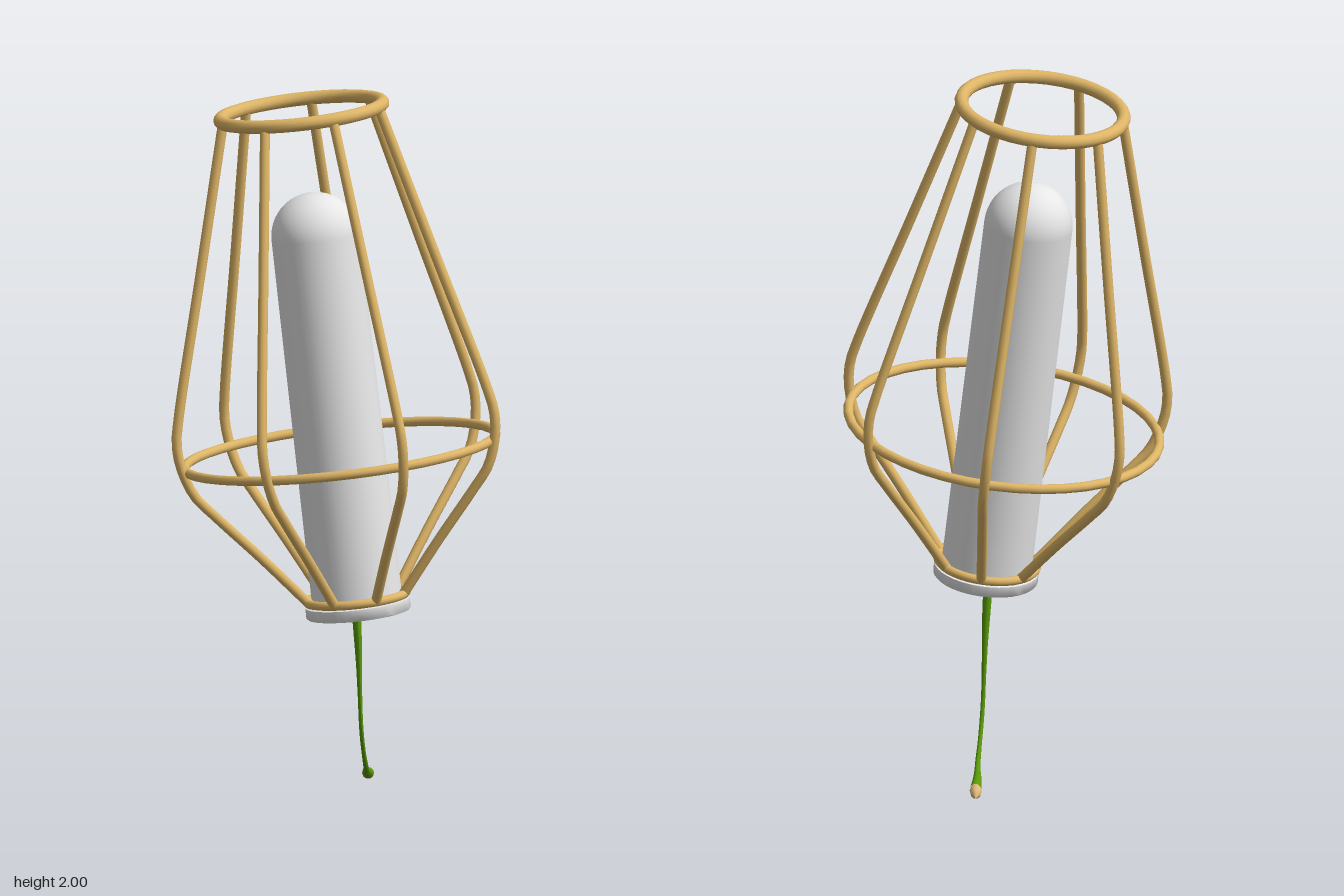
import * as THREE from 'three';
import { toCreasedNormals } from 'three/addons/utils/BufferGeometryUtils.js';

const V = (x, y, z) => new THREE.Vector3(x, y, z);

// Tube along a curve whose radius follows a list of evenly spaced values
function taperedTube(points, radii, segments, sides) {
  const curve = new THREE.CatmullRomCurve3(points, false, 'centripetal');
  const geo = new THREE.TubeGeometry(curve, segments, 1, sides);
  const pos = geo.attributes.position;
  const v = V(0, 0, 0);
  for (let i = 0; i <= segments; i++) {
    const t = (i / segments) * (radii.length - 1);
    const k = Math.min(Math.floor(t), radii.length - 2);
    const r = THREE.MathUtils.lerp(radii[k], radii[k + 1], t - k);
    const c = curve.getPointAt(i / segments);
    for (let j = 0; j <= sides; j++) {
      const n = i * (sides + 1) + j;
      v.fromBufferAttribute(pos, n).sub(c).multiplyScalar(r).add(c);
      pos.setXYZ(n, v.x, v.y, v.z);
    }
  }
  geo.computeVertexNormals();
  return geo;
}

export function createModel() {
  const model = new THREE.Group();
  model.name = 'cageLamp';

  const mat = (name, color, extra = {}) =>
    Object.assign(new THREE.MeshStandardMaterial({ color, ...extra }), { name });
  const brass = mat('brass', 0xdeb566);
  const white = mat('white', 0xe6e6e6, { side: THREE.DoubleSide });
  const green = mat('green', 0x589a08);
  const tan = mat('tan', 0xe0b878);

  const add = (parent, name, geo, material) => {
    const mesh = new THREE.Mesh(geo, material);
    mesh.name = name;
    parent.add(mesh);
    return mesh;
  };

  // Leaning lamp: everything here is built around its own upright axis
  const lamp = new THREE.Group();
  lamp.name = 'lamp';
  lamp.position.set(0.055, 0.593, 0.035);
  lamp.quaternion.setFromUnitVectors(V(0, 1, 0), V(-0.127, 1.37, -0.132).normalize());
  model.add(lamp);

  // Hoops: name, height, radius, wire radius
  for (const [name, y, r, w] of [
    ['baseHoop', 0, 0.138, 0.0125],
    ['middleHoop', 0.412, 0.435, 0.0135],
    ['topHoop', 1.372, 0.227, 0.019],
  ]) {
    const hoop = add(lamp, name, new THREE.TorusGeometry(r, w, 12, 40), brass);
    hoop.rotation.x = Math.PI / 2;
    hoop.position.y = y;
  }

  // Seven bent wires of the cage, with one wider gap at the back
  const profile = [
    [0.136, 0], [0.255, 0.145], [0.376, 0.285], [0.424, 0.345], [0.453, 0.425],
    [0.459, 0.495], [0.447, 0.56], [0.337, 0.96], [0.226, 1.367],
  ];
  const wirePath = new THREE.CatmullRomCurve3(
    profile.map(([r, y]) => V(r, y, 0)), false, 'centripetal');
  const wireGeo = new THREE.TubeGeometry(wirePath, 48, 0.014, 10);
  for (let i = -3; i <= 3; i++) {
    const wire = add(lamp, 'cageWire', wireGeo, brass);
    wire.rotation.y = -THREE.MathUtils.degToRad(30.5 + i * 50);
  }

  // Long hollow bulb with a domed top
  const bulb = [new THREE.Vector2(0.126, -0.02)];
  for (let i = 0; i <= 12; i++) {
    const a = (i / 12) * Math.PI / 2;
    bulb.push(new THREE.Vector2(0.123 * Math.cos(a), 1.02 + 0.123 * Math.sin(a)));
  }
  add(lamp, 'bulb', new THREE.LatheGeometry(bulb, 40), white);

  // Thin flared collar around the open bottom of the bulb
  const collar = [
    [0.125, -0.012], [0.137, -0.044], [0.142, -0.047], [0.146, -0.043],
    [0.146, -0.015], [0.125, -0.012],
  ].map(([r, y]) => new THREE.Vector2(r, y));
  add(lamp, 'collar', toCreasedNormals(new THREE.LatheGeometry(collar, 40), 0.9), white);

  // Hanging cord, thin in the middle and swelling at the end
  add(model, 'cord', taperedTube([
    V(0.065, 0.72, -0.045), V(0.072, 0.56, -0.045), V(0.08, 0.42, -0.046),
    V(0.09, 0.2, -0.055), V(0.105, 0.122, -0.088), V(0.125, 0.064, -0.14),
    V(0.14, 0.04, -0.195), V(0.155, 0.026, -0.236),
  ], [0.013, 0.013, 0.013, 0.011, 0.008, 0.006, 0.006, 0.006, 0.008, 0.016], 48, 10), green);

  // Pale tip of the cord
  add(model, 'cordTip', taperedTube([
    V(0.153, 0.028, -0.23), V(0.159, 0.021, -0.255), V(0.166, 0.014, -0.282),
  ], [0.013, 0.017, 0.014, 0.001], 12, 10), tan);

  return model;
}
